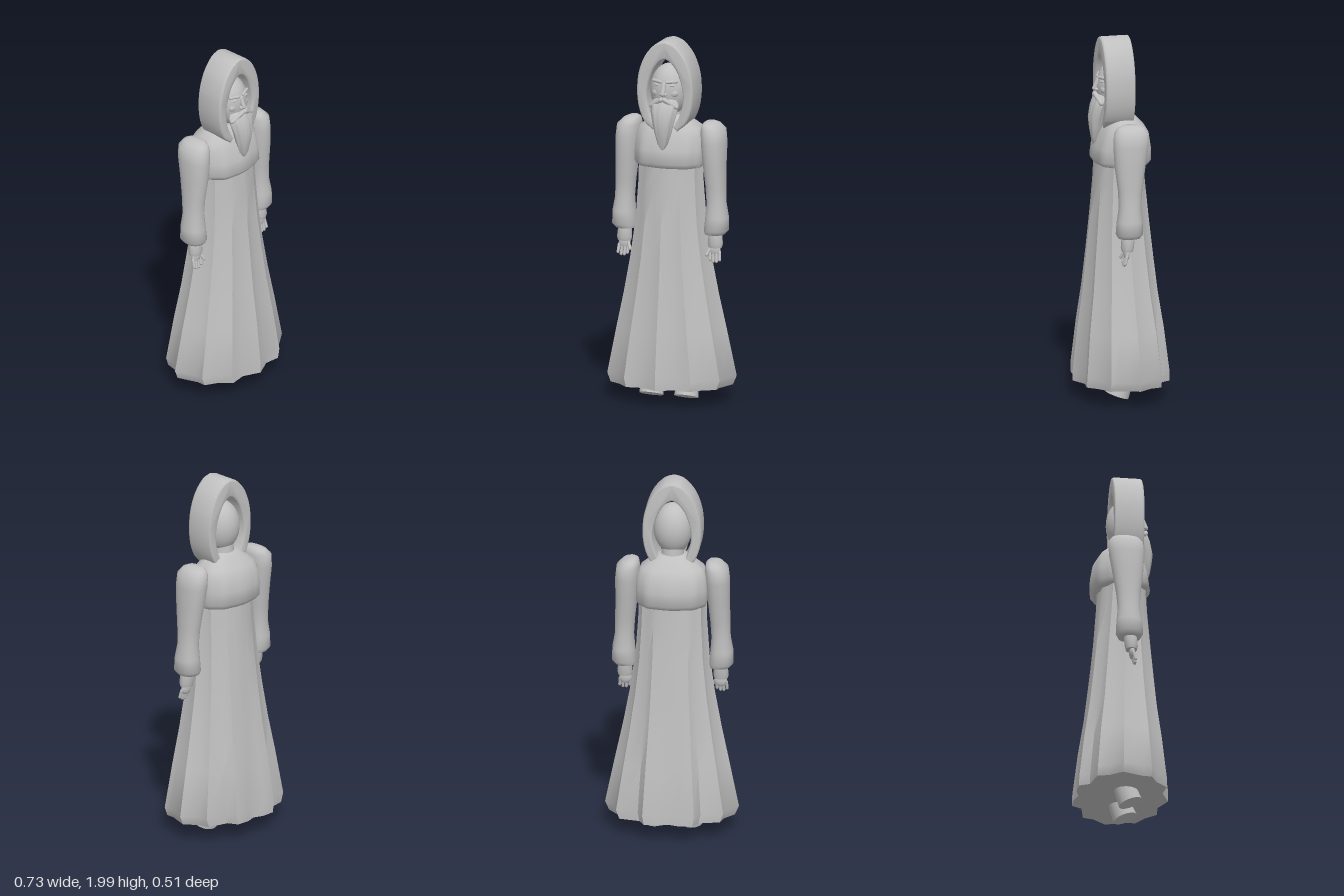
import * as THREE from 'three';
import { toCreasedNormals } from 'three/addons/utils/BufferGeometryUtils.js';

const cloth = new THREE.MeshStandardMaterial({ color: 0xc0c0c0, side: THREE.DoubleSide });
cloth.name = 'pale grey';

// Closed, capped skin over rings of [x, y, z] points, listed from bottom to top
function loft(rings, crease = 0.9) {
  const n = rings[0].length, pos = [], index = [];
  rings.forEach(r => r.forEach(p => pos.push(...p)));
  for (let j = 0; j < rings.length - 1; j++) {
    for (let i = 0; i < n; i++) {
      const a = j * n + i, b = j * n + (i + 1) % n;
      index.push(a, b, b + n, a, b + n, a + n);
    }
  }
  const cap = (j, up) => {
    const c = pos.length / 3;
    const mid = [0, 1, 2].map(k => rings[j].reduce((s, p) => s + p[k], 0) / n);
    pos.push(...mid);
    for (let i = 0; i < n; i++) {
      const a = j * n + i, b = j * n + (i + 1) % n;
      index.push(c, up ? a : b, up ? b : a);
    }
  };
  cap(0, false);
  cap(rings.length - 1, true);
  const g = new THREE.BufferGeometry();
  g.setAttribute('position', new THREE.Float32BufferAttribute(pos, 3));
  g.setIndex(index);
  return toCreasedNormals(g, crease);
}

// Rounded ring; power below 1 makes it squarer, ripple adds soft folds
function ring([x, y, z, rx, rz], n = 24, power = 1, ripple = 0, folds = 0) {
  const bend = v => Math.sign(v) * Math.abs(v) ** power;
  return Array.from({ length: n }, (_, i) => {
    const t = i / n * Math.PI * 2, k = 1 + ripple * Math.cos(folds * t);
    return [x + rx * k * bend(Math.sin(t)), y, z + rz * k * bend(Math.cos(t))];
  });
}

function add(parent, name, geometry, x = 0, y = 0, z = 0) {
  const m = new THREE.Mesh(geometry, cloth);
  m.name = name;
  m.position.set(x, y, z);
  parent.add(m);
  return m;
}

// Round-ended bar between two points
function bar(parent, name, a, b, r, flat = 1) {
  const p = new THREE.Vector3(...a), q = new THREE.Vector3(...b), d = q.clone().sub(p);
  const m = add(parent, name, new THREE.CapsuleGeometry(r, d.length(), 4, 10));
  m.position.copy(p).add(q).multiplyScalar(0.5);
  m.quaternion.setFromUnitVectors(new THREE.Vector3(0, 1, 0), d.normalize());
  m.scale.z = flat;
  return m;
}

function ball(parent, name, x, y, z, rx, ry, rz) {
  const m = add(parent, name, new THREE.SphereGeometry(1, 28, 20), x, y, z);
  m.scale.set(rx, ry, rz);
  return m;
}

// Robe: a deeply folded hem that blends into an oval chest
function makeRobe(parent) {
  const hem = [[0, 0.255], [0.1, 0.21], [0.19, 0.22], [0.25, 0.16], [0.322, 0.12],
    [0.322, 0.075], [0.363, -0.04], [0.305, -0.11], [0.29, -0.17], [0.17, -0.195],
    [0.14, -0.25], [0.06, -0.253], [0, -0.233]];
  const levels = [[0.1, 0, 0, 0.94], [0.15, 0, 0, 1], [0.4, 0.29, 0.22, 1], [0.6, 0.53, 0.45, 1],
    [0.8, 0.74, 0.62, 1], [1, 0.9, 0.78, 1], [1.2, 0.98, 0.93, 1], [1.34, 1, 1, 1]];
  const rings = levels.map(([y, tx, tz, k]) => {
    const half = hem.map(([x, z], i) => {
      const a = i / 12 * Math.PI, f = i % 2 ? 0.95 : 1.02;
      return [(x + (0.18 * f * Math.sin(a) - x) * tx) * k, y, z + (0.13 * f * Math.cos(a) - z) * tz];
    });
    const other = half.slice(1, -1).reverse().map(([x, yy, z]) => [-x, yy, z]);
    return [...half, ...other];
  });
  add(parent, 'robe', loft(rings, 0.75));
}

// Hood: a pointed arch standing around the head
function makeHood(parent) {
  const side = (pts, s) => pts.map(([x, y]) => new THREE.Vector2(x * s, y));
  const outer = [[0.07, 1.52], [0.112, 1.56], [0.14, 1.63], [0.15, 1.72], [0.14, 1.82], [0.105, 1.91], [0.05, 1.972], [0, 1.99]];
  const inner = [[0, 1.912], [0.04, 1.89], [0.08, 1.835], [0.108, 1.75], [0.112, 1.67], [0.092, 1.59], [0.06, 1.53]];
  const shape = new THREE.Shape();
  shape.moveTo(0.07, 1.52);
  shape.splineThru(side(outer.slice(1), 1));
  shape.splineThru(side(outer.slice(0, -1).reverse(), -1));
  shape.lineTo(-0.06, 1.53);
  shape.splineThru(side(inner.slice(0, -1).reverse(), -1));
  shape.splineThru(side(inner.slice(1), 1));
  shape.closePath();
  const g = new THREE.ExtrudeGeometry(shape, { depth: 0.135, curveSegments: 24,
    bevelSize: 0.01, bevelThickness: 0.014, bevelSegments: 3 });
  add(parent, 'hood', toCreasedNormals(g, 0.7), 0, 0, -0.044);
}

function makeHead(parent) {
  const head = new THREE.Group();
  head.name = 'head';
  parent.add(head);
  ball(head, 'skull', 0, 1.722, 0.018, 0.105, 0.143, 0.103);
  add(head, 'neck', new THREE.CylinderGeometry(0.055, 0.07, 0.14, 20), 0, 1.57, 0);
  bar(head, 'nose', [0, 1.765, 0.113], [0, 1.715, 0.133], 0.013);
  for (const s of [1, -1]) {
    bar(head, 'brow', [s * 0.018, 1.778, 0.112], [s * 0.066, 1.782, 0.094], 0.009);
    ball(head, 'eye', s * 0.04, 1.76, 0.104, 0.019, 0.007, 0.009);
    ball(head, 'cheek', s * 0.042, 1.715, 0.09, 0.032, 0.025, 0.022);
    ball(head, 'nostril', s * 0.012, 1.712, 0.125, 0.01, 0.009, 0.011);
    ball(head, 'ear', s * 0.104, 1.725, 0.02, 0.01, 0.034, 0.02);
    const tache = bar(head, 'moustache', [s * 0.01, 1.682, 0.13], [s * 0.07, 1.645, 0.112], 0.015);
    tache.scale.x = 0.9;
  }
  // Long beard tapering to a point
  const beard = [[0, 1.408, 0.135, 0.008, 0.007], [0, 1.44, 0.132, 0.028, 0.02], [0, 1.5, 0.128, 0.046, 0.034],
    [0, 1.56, 0.125, 0.06, 0.043], [0, 1.62, 0.112, 0.074, 0.044], [0, 1.66, 0.1, 0.076, 0.04],
    [0, 1.685, 0.09, 0.055, 0.034]];
  add(head, 'beard', loft(beard.map(r => ring(r, 48, 1, 0.05, 8)), 1.1));
}

function makeArm(parent, s) {
  const arm = new THREE.Group();
  arm.name = s > 0 ? 'leftArm' : 'rightArm';
  parent.add(arm);
  const sleeve = [[0.255, 0.938, 0.005, 0.055, 0.06], [0.263, 0.96, 0.005, 0.066, 0.074],
    [0.266, 1.03, 0.004, 0.062, 0.07], [0.262, 1.11, 0.002, 0.052, 0.06], [0.258, 1.2, 0, 0.054, 0.066],
    [0.25, 1.33, -0.002, 0.06, 0.084], [0.245, 1.44, -0.008, 0.066, 0.096],
    [0.24, 1.51, -0.012, 0.063, 0.095], [0.228, 1.54, -0.012, 0.046, 0.075], [0.222, 1.553, -0.012, 0.026, 0.045]];
  add(arm, 'sleeve', loft(sleeve.map(r => ring([r[0] * s, ...r.slice(1)], 24, 0.9)), 1));
  const cuff = [[0.26, 0.865, 0.016, 0.037, 0.03], [0.26, 0.885, 0.016, 0.042, 0.035],
    [0.26, 0.925, 0.012, 0.038, 0.036], [0.26, 0.955, 0.01, 0.036, 0.034]];
  add(arm, 'cuff', loft(cuff.map(r => ring([r[0] * s, ...r.slice(1)]))));
  ball(arm, 'palm', s * 0.258, 0.85, 0.02, 0.034, 0.036, 0.016);
  for (let i = 0; i < 4; i++) {
    const x = 0.234 + i * 0.018;
    bar(arm, 'finger', [s * x, 0.84, 0.024], [s * (x + 0.003), 0.8 - (i % 3 ? 0.01 : 0), 0.035], 0.0085);
  }
  bar(arm, 'thumb', [s * 0.235, 0.86, 0.025], [s * 0.22, 0.825, 0.042], 0.009);
}

export function createModel() {
  const model = new THREE.Group();
  model.name = 'hoodedFigure';
  makeRobe(model);

  // Short shoulder cape with a lightly rippled edge
  const cape = [[0, 1.305, -0.008, 0.185, 0.14, 1], [0, 1.33, -0.01, 0.196, 0.16, 1], [0, 1.4, -0.014, 0.195, 0.153, 1],
    [0, 1.47, -0.018, 0.19, 0.138, 0.6], [0, 1.515, -0.016, 0.172, 0.113, 0.3], [0, 1.555, -0.01, 0.12, 0.08, 0],
    [0, 1.585, -0.005, 0.078, 0.06, 0]];
  add(model, 'cape', loft(cape.map(r => ring(r.slice(0, 5), 48, 0.8, 0.018 * r[5], 10)), 1.1));

  makeHood(model);
  makeHead(model);
  for (const s of [1, -1]) {
    makeArm(model, s);
    // Tilted foot showing under the hem
    const foot = add(model, s > 0 ? 'leftFoot' : 'rightFoot',
      new THREE.CylinderGeometry(0.056, 0.066, 0.14, 20), s * 0.1, 0.096, 0.01);
    foot.rotation.x = -0.35;
  }
  return model;
}
